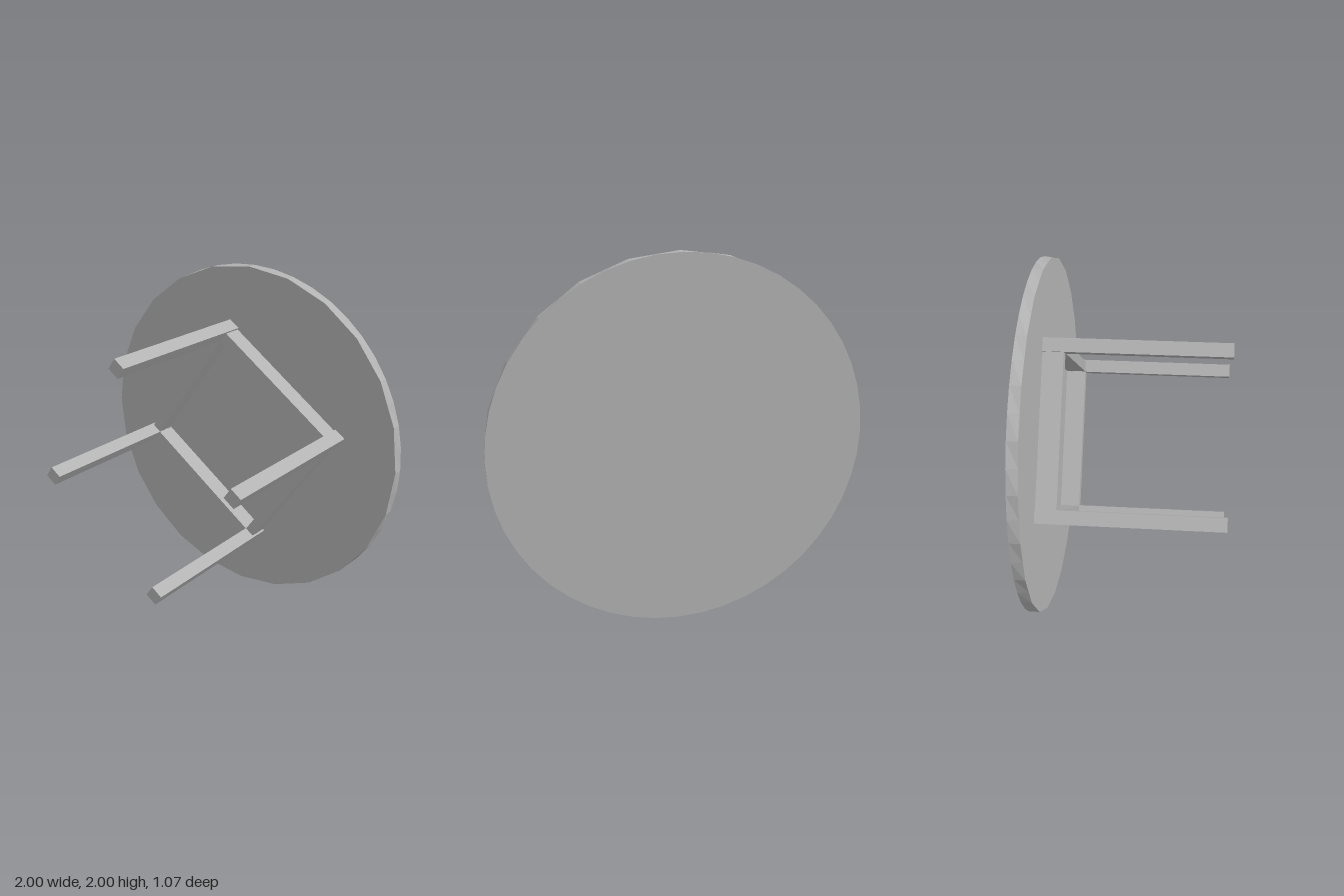
import * as THREE from 'three';

export function createModel() {
  const gray = new THREE.MeshStandardMaterial({ color: 0xb2b2b2 });
  const model = new THREE.Group();
  model.name = 'tippedTable';

  // The table is built with its legs along +z, then placed with a tiny lean
  const table = new THREE.Group();
  table.name = 'table';
  table.position.set(0, 1.003, -0.467);
  table.rotation.set(-0.006, 0.006, 0);
  model.add(table);

  const add = (parent, name, geometry, x, y, z) => {
    const mesh = new THREE.Mesh(geometry, gray);
    mesh.name = name;
    mesh.position.set(x, y, z);
    parent.add(mesh);
  };

  // Round top: the underside rim has half as many corners as the upper rim
  const SIDES = 48, THICK = 0.058;
  const disc = new THREE.CylinderGeometry(1, 1, THICK, SIDES);
  const p = disc.attributes.position;
  for (let i = 0; i < p.count; i++) {
    const step = Math.round(Math.atan2(p.getX(i), p.getZ(i)) / (2 * Math.PI / SIDES));
    if (p.getY(i) > 0 && step % 2 !== 0) {
      const k = Math.cos(2 * Math.PI / SIDES);
      p.setX(i, p.getX(i) * k);
      p.setZ(i, p.getZ(i) * k);
    }
  }
  const top = disc.toNonIndexed();
  top.computeVertexNormals();
  top.rotateX(Math.PI / 2);
  add(table, 'tableTop', top, 0, 0, -THICK / 2);

  // Square frame of legs and rails, turned under the top
  const frame = new THREE.Group();
  frame.name = 'frame';
  frame.rotation.z = -0.605;
  table.add(frame);

  const HALF = 0.449, LEG = 0.074, LENGTH = 0.998;
  const RAIL = 0.06, DEPTH = 0.113;
  for (let i = 0; i < 4; i++) {
    const side = new THREE.Group();
    side.name = 'frameSide' + (i + 1);
    side.rotation.z = i * Math.PI / 2;
    add(side, 'leg', new THREE.BoxGeometry(LEG, LEG, LENGTH), HALF, HALF, LENGTH / 2);
    add(side, 'rail', new THREE.BoxGeometry(2 * HALF - LEG, RAIL, DEPTH), 0, HALF - 0.005, DEPTH / 2);
    frame.add(side);
  }
  return model;
}
